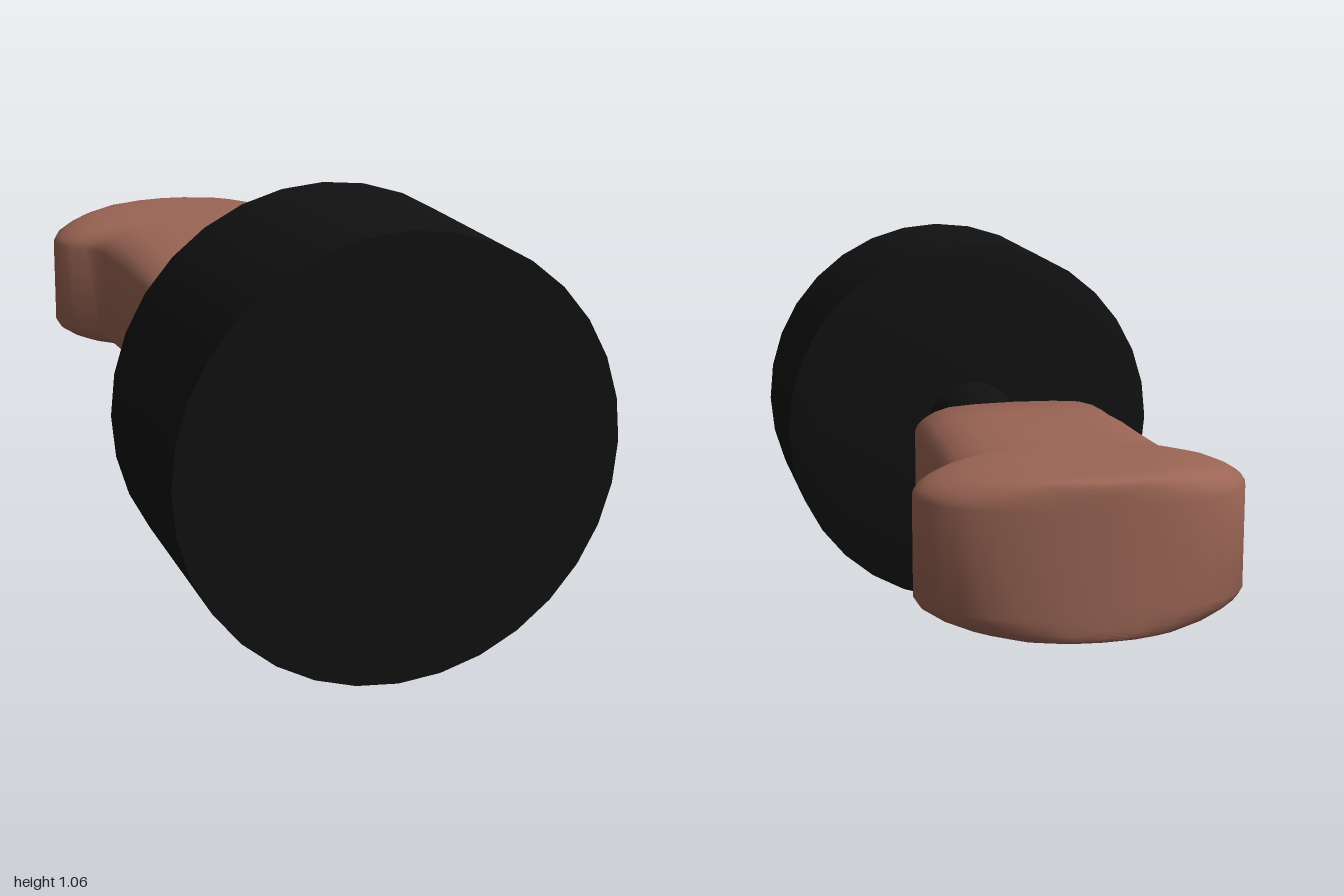
import * as THREE from 'three';
import { toCreasedNormals } from 'three/addons/utils/BufferGeometryUtils.js';

const AXIS_Y = 0.53;
const black = new THREE.MeshStandardMaterial({ color: 0x111111 });
const brown = new THREE.MeshStandardMaterial({ color: 0x9b6555 });

function addPart(group, name, geometry, material, crease) {
  const mesh = new THREE.Mesh(toCreasedNormals(geometry, crease), material);
  mesh.name = name;
  mesh.position.y = AXIS_Y;
  group.add(mesh);
}

// Revolve a [radius, z] profile about the z axis
function turned(profile, sides) {
  const points = profile.map(([r, z]) => new THREE.Vector2(r, z));
  return new THREE.LatheGeometry(points, sides).rotateX(Math.PI / 2);
}

// Loft a rounded section along z; each station is [z, half width, height scale]
function loftedGrip(stations, quarter) {
  const right = [...quarter.map(([x, y]) => [x, -y]).reverse(), ...quarter];
  const left = right.slice(1, -1).map(([x, y]) => [-x, y]).reverse();
  const ring = [...right, ...left];
  const n = ring.length;
  const positions = [];
  const indices = [];
  stations.forEach(([z, w, h], j) => {
    ring.forEach(([x, y], i) => {
      positions.push(x * w, y * h, z);
      if (j === stations.length - 1) return;
      const a = j * n + i;
      const b = j * n + (i + 1) % n;
      indices.push(a, a + n, b, b, a + n, b + n);
    });
  });
  const geometry = new THREE.BufferGeometry();
  geometry.setAttribute('position', new THREE.Float32BufferAttribute(positions, 3));
  geometry.setIndex(indices);
  geometry.computeVertexNormals();
  return geometry;
}

export function createModel() {
  const group = new THREE.Group();

  // Drum-shaped head with a chamfered back edge
  addPart(group, 'head', turned(
    [[0, 0.45], [0.45, 0.45], [0.528, 0.475], [0.528, 1], [0, 1]], 32), black, 0.5);

  // Round shaft
  addPart(group, 'shaft', turned(
    [[0, -0.12], [0.13, -0.12], [0.13, 0.47], [0, 0.47]], 32), black, 0.5);

  // Flattened grip flaring into a wide rounded butt
  const quarter = [[1, 0.12], [0.97, 0.138], [0.9, 0.155], [0.8, 0.17],
    [0.66, 0.181], [0.4, 0.186], [0, 0.188]];
  const stations = [
    [-0.083, 0, 0], [-0.083, 0.255, 0.92], [-0.095, 0.262, 0.96], [-0.235, 0.262, 0.97],
    [-0.27, 0.267, 0.99], [-0.4, 0.268, 1], [-0.52, 0.274, 1], [-0.6, 0.281, 1],
    [-0.64, 0.29, 1], [-0.665, 0.32, 1], [-0.69, 0.353, 1], [-0.72, 0.376, 1],
    [-0.76, 0.386, 1], [-0.8, 0.384, 1], [-0.85, 0.367, 1], [-0.89, 0.34, 1],
    [-0.925, 0.302, 1], [-0.955, 0.248, 1], [-0.978, 0.18, 0.99], [-0.992, 0.1, 0.96],
    [-1, 0, 0.9],
  ];
  addPart(group, 'grip', loftedGrip(stations, quarter), brown, 0.8);

  return group;
}
